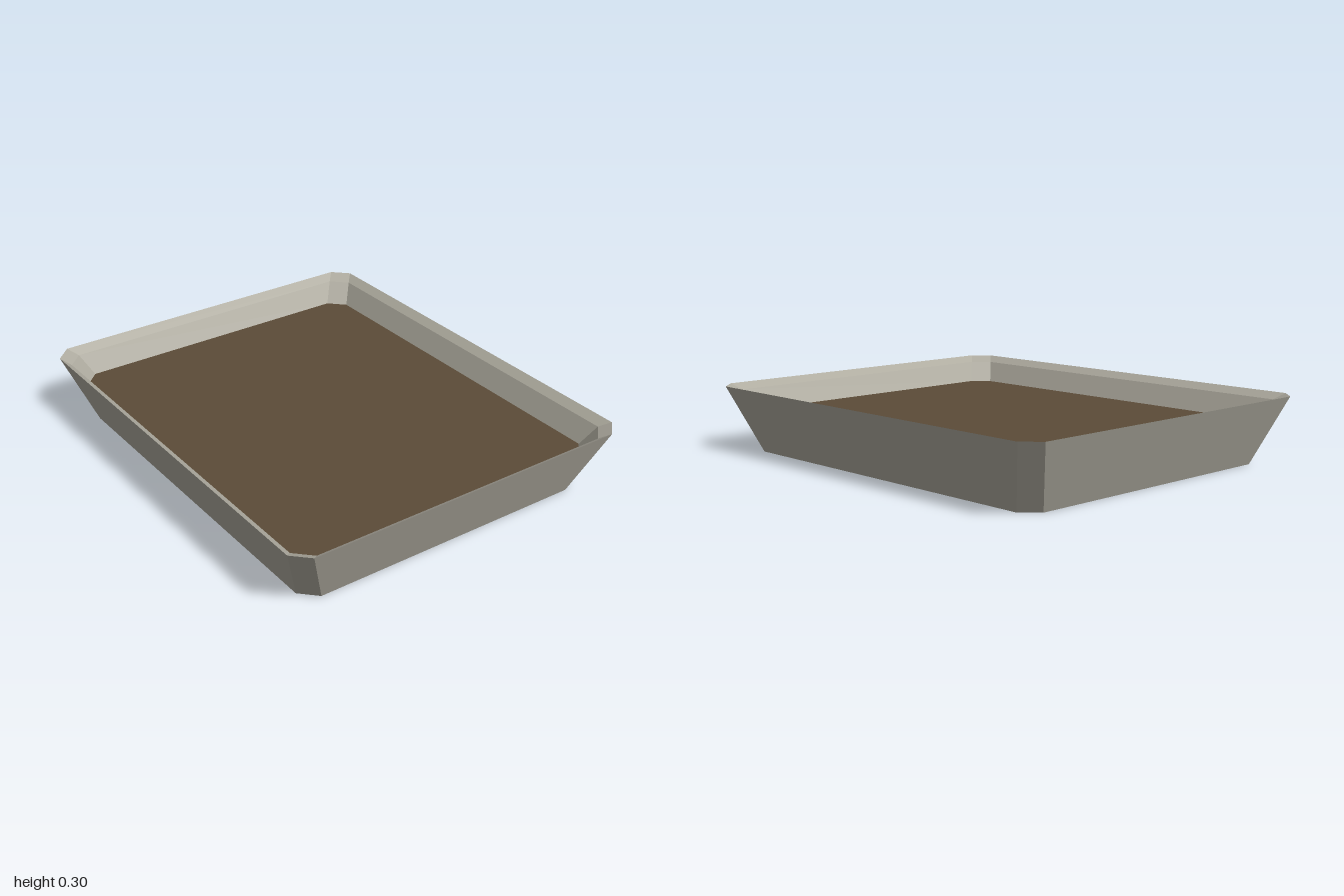
import * as THREE from 'three';

// Rectangle with cut corners at height y, from half sizes and corner cut
function ring(hx, hz, y, c = 0.07) {
  return [
    [hx, -hz + c], [hx, hz - c], [hx - c, hz], [-hx + c, hz],
    [-hx, hz - c], [-hx, -hz + c], [-hx + c, -hz], [hx - c, -hz],
  ].map(([x, z]) => [x, y, z]);
}

// Flat-faced skin through a list of rings
function band(rings) {
  const p = [];
  for (let k = 0; k < rings.length - 1; k++) {
    const a = rings[k], b = rings[k + 1];
    for (let i = 0; i < a.length; i++) {
      const j = (i + 1) % a.length;
      p.push(...a[i], ...b[i], ...b[j], ...a[i], ...b[j], ...a[j]);
    }
  }
  return p;
}

// Flat cap closing a ring
function cap(r, up) {
  const p = [];
  for (let i = 1; i < r.length - 1; i++) {
    p.push(...r[0], ...(up ? r[i + 1] : r[i]), ...(up ? r[i] : r[i + 1]));
  }
  return p;
}

function mesh(name, positions, material) {
  const g = new THREE.BufferGeometry();
  g.setAttribute('position', new THREE.Float32BufferAttribute(positions, 3));
  g.computeVertexNormals();
  const m = new THREE.Mesh(g, material);
  m.name = name;
  return m;
}

export function createModel() {
  const stone = new THREE.MeshStandardMaterial({ color: 0xaeab9f });
  stone.name = 'stone';
  const soil = new THREE.MeshStandardMaterial({ color: 0x5c4c38 });
  soil.name = 'soil';

  const base = ring(0.88, 0.705, 0);
  const edge = ring(1, 0.82, 0.296);
  const lip = ring(0.96, 0.782, 0.268);
  const fill = ring(0.91, 0.732, 0.176);

  const group = new THREE.Group();
  group.name = 'planter';
  group.add(
    mesh('outerWall', band([base, edge]), stone),
    mesh('bottom', cap(base, false), stone),
    mesh('rim', band([edge, lip]), stone),
    mesh('innerWall', band([lip, fill]), stone),
    mesh('soilSurface', cap(fill, true), soil),
  );
  return group;
}
